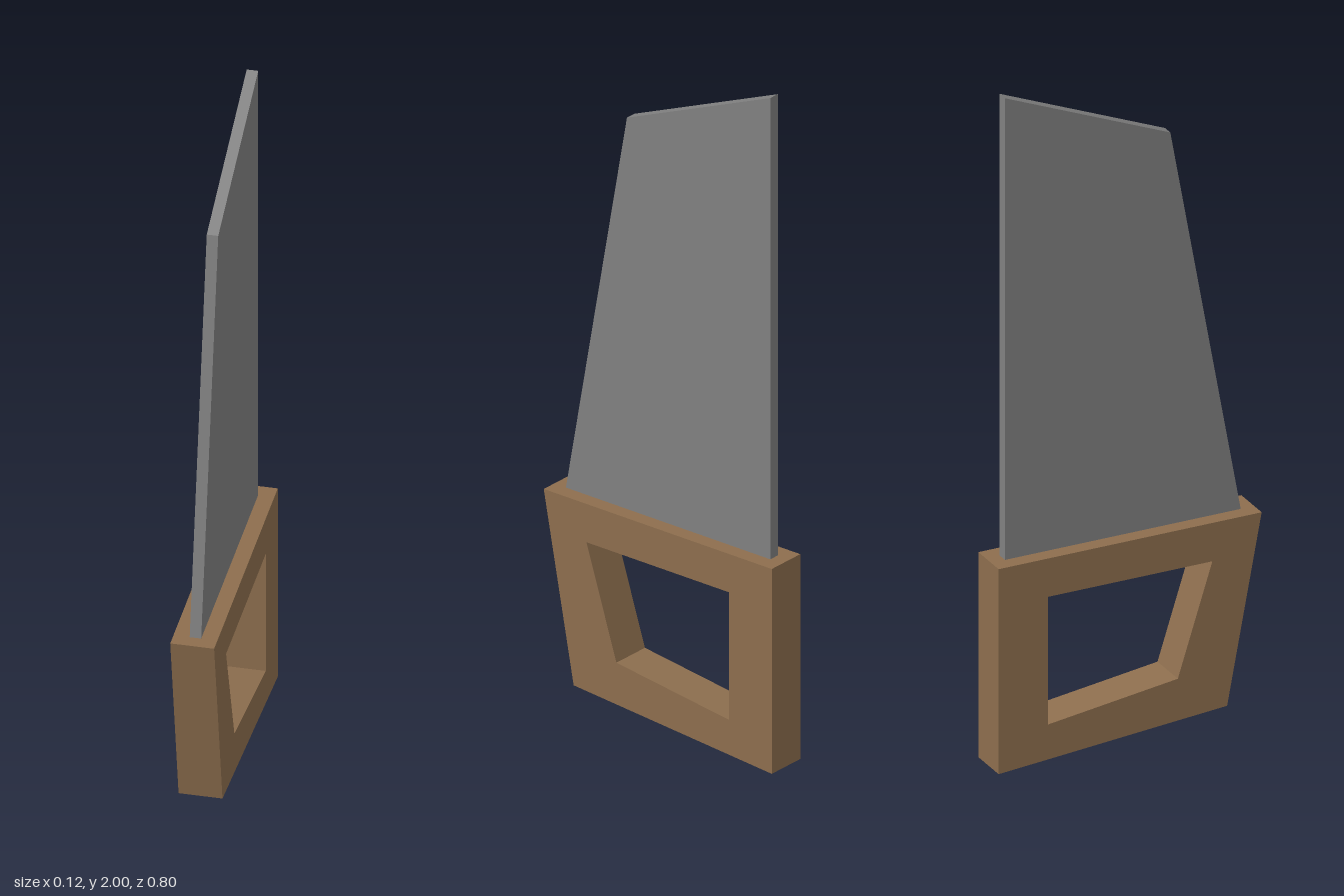
import * as THREE from 'three';

const wood = new THREE.MeshStandardMaterial({ color: 0x8d6e4e });
wood.name = 'wood';
const steel = new THREE.MeshStandardMaterial({ color: 0x808080 });
steel.name = 'steel';

const toPoints = (list) => list.map(([z, y]) => new THREE.Vector2(z, y));

// Flat slab from a [z, y] outline, centred on x = 0
function slab(name, outline, thickness, material, hole) {
  const shape = new THREE.Shape(toPoints(outline));
  if (hole) shape.holes.push(new THREE.Path(toPoints(hole)));
  const geometry = new THREE.ExtrudeGeometry(shape, { depth: thickness, bevelEnabled: false });
  geometry.translate(0, 0, -thickness / 2);
  geometry.rotateY(-Math.PI / 2);
  const mesh = new THREE.Mesh(geometry, material);
  mesh.name = name;
  return mesh;
}

export function createModel() {
  const saw = new THREE.Group();
  saw.name = 'handSaw';

  // Wooden grip with a finger opening
  saw.add(slab(
    'handle',
    [[-0.4, 0], [-0.4, 0.615], [0.4, 0.615], [0.295, 0.057]],
    0.122, wood,
    [[-0.25, 0.117], [0.145, 0.17], [0.25, 0.5], [-0.25, 0.5]],
  ));

  // Tapered blade with a slanted tip
  saw.add(slab(
    'blade',
    [[-0.358, 0.61], [-0.358, 2], [0.145, 1.79], [0.36, 0.61]],
    0.032, steel,
  ));

  return saw;
}
